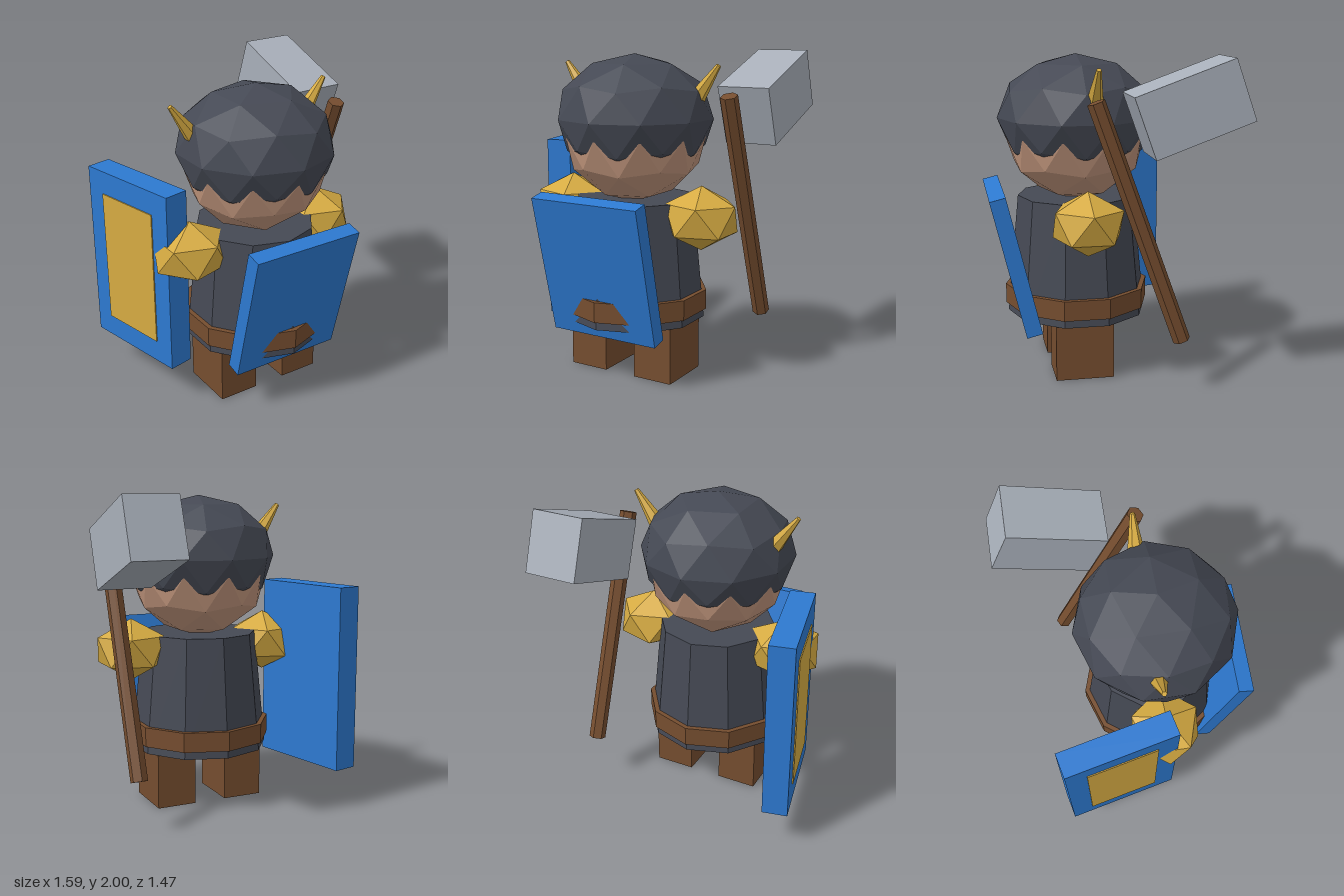
import * as THREE from 'three';

const mat = (name, color) => {
  const m = new THREE.MeshStandardMaterial({ color });
  m.name = name;
  return m;
};

// Split all faces so that every facet is flat
function faceted(geo) {
  const g = geo.index ? geo.toNonIndexed() : geo;
  g.computeVertexNormals();
  return g;
}

// Icosphere with its poles on the y axis and an upper corner towards +x
function icosphere(detail) {
  const verts = [0, 1, 0], faces = [];
  const h = 1 / Math.sqrt(5), r = 2 * h;
  for (const [y, turn] of [[h, 0], [-h, 0.5]]) {
    for (let k = 0; k < 5; k++) {
      const a = (k + turn) * Math.PI * 0.4;
      verts.push(r * Math.cos(a), y, -r * Math.sin(a));
    }
  }
  verts.push(0, -1, 0);
  for (let k = 0; k < 5; k++) {
    const n = (k + 1) % 5;
    const u = 1 + k, u2 = 1 + n, l = 6 + k, l2 = 6 + n;
    faces.push(0, u, u2, u, l, u2, l, l2, u2, 11, l2, l);
  }
  return faceted(new THREE.PolyhedronGeometry(verts, faces, 1, detail));
}

const box = (w, h, d) => new THREE.BoxGeometry(w, h, d);
const prism = (top, bottom, h, sides) => faceted(new THREE.CylinderGeometry(top, bottom, h, sides));

export function createModel() {
  const model = new THREE.Group();
  model.name = 'warrior';

  const iron = mat('dark iron', 0x454954);
  const skin = mat('skin', 0xbf947b);
  const leather = mat('brown leather', 0x754d2f);
  const blue = mat('blue', 0x2d79d0);
  const gold = mat('gold', 0xd6ab42);
  const steel = mat('light steel', 0xa8afb9);

  const add = (name, geo, material, x, y, z, parent = model) => {
    const m = new THREE.Mesh(geo, material);
    m.name = name;
    m.position.set(x, y, z);
    parent.add(m);
    return m;
  };

  const Z = 0.167; // the body stands forward of the centre

  // Torso and belt
  add('torso', prism(0.37, 0.443, 0.75, 10), iron, 0, 0.735, Z);
  add('belt', prism(0.457, 0.457, 0.125, 10), leather, 0, 0.472, Z);

  // Head with a wider, flatter helmet over it
  add('head', icosphere(1), skin, 0, 1.5, Z).scale.set(0.445, 0.42, 0.445);
  add('helmet', icosphere(1), iron, 0, 1.6, Z).scale.set(0.49, 0.386, 0.49);

  // Paired parts
  for (const [side, s] of [['left', 1], ['right', -1]]) {
    add(side + 'Leg', box(0.26, 0.42, 0.36), leather, s * 0.235, 0.21, 0.17);
    add(side + 'ShoulderGuard', icosphere(0), gold, s * 0.47, 1.02, Z).scale.set(0.25, 0.197, 0.238);
    const horn = add(side + 'Horn', prism(0.015, 0.06, 0.3, 6), gold, s * 0.457, 1.803, 0.115);
    horn.rotation.z = -s * 0.63;
  }

  // Leaning plate on the chest
  add('chestPlate', box(0.73, 0.885, 0.1), blue, 0, 0.731, 0.584).rotation.x = 0.238;

  // Shield at the right side with a gold panel on its outer face
  const shield = new THREE.Group();
  shield.name = 'shield';
  shield.position.set(-0.645, 0.843, -0.153);
  shield.rotation.y = 0.218;
  model.add(shield);
  add('shieldBoard', box(0.158, 1.165, 0.712), blue, 0, 0, 0, shield);
  add('shieldPanel', box(0.008, 0.87, 0.45), gold, -0.082, 0, 0, shield);

  // Hammer at the left side, leaning forward
  const handle = add('hammerHandle', prism(0.053, 0.053, 1.52, 6), leather, 0.63, 1.037, -0.112);
  const hammer = add('hammerHead', box(0.335, 0.372, 0.607), steel, 0.628, 1.72, -0.385);
  handle.rotation.x = hammer.rotation.x = 0.347;

  return model;
}
